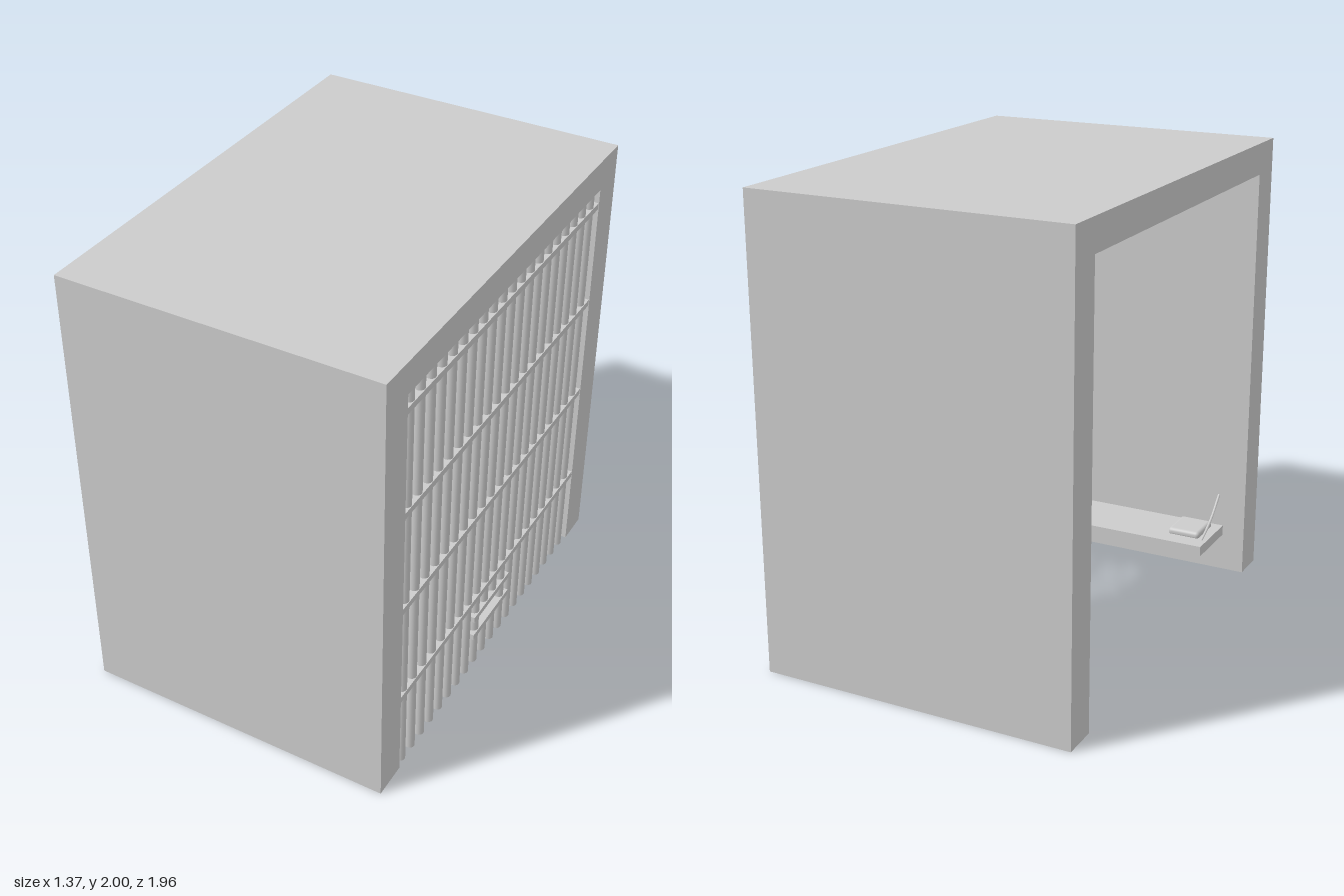
import * as THREE from 'three';
import { RoundedBoxGeometry } from 'three/addons/geometries/RoundedBoxGeometry.js';

const grey = new THREE.MeshStandardMaterial({ color: 0xcccccc });

export function createModel() {
  const model = new THREE.Group();
  const W = 0.685, D = 0.98, H = 2, openD = 0.825, openH = 1.865, barX = 0.66;

  const add = (name, geometry, x = 0, y = 0, z = 0, parent = model) => {
    const mesh = new THREE.Mesh(geometry, grey);
    mesh.name = name;
    mesh.position.set(x, y, z);
    parent.add(mesh);
    return mesh;
  };

  // Shell: two walls and a roof, open at both x ends and at the floor
  const portal = new THREE.Shape([
    [-D, 0], [-openD, 0], [-openD, openH], [openD, openH],
    [openD, 0], [D, 0], [D, H], [-D, H],
  ].map(([a, b]) => new THREE.Vector2(a, b)));
  const shell = new THREE.ExtrudeGeometry(portal, { depth: 2 * W, bevelEnabled: false });
  shell.translate(0, 0, -W).rotateY(Math.PI / 2);
  add('cellShell', shell);

  // Barred wall on the +x side
  const grille = new THREE.Group();
  grille.name = 'barredWall';
  model.add(grille);
  const addBar = (z, y0, y1) =>
    add('bar', new THREE.CylinderGeometry(0.021, 0.021, y1 - y0, 16), barX, (y0 + y1) / 2, z, grille);
  const count = 20, pitch = 0.0813;
  for (let i = 0; i < count; i++) {
    const z = (i - (count - 1) / 2) * pitch;
    if (Math.abs(z) < 0.06) {
      // Middle bars are cut away at the food slot
      addBar(z, 0, 0.175);
      addBar(z, 0.275, openH);
    } else addBar(z, 0, openH);
  }
  for (const y of [0.385, 0.855, 1.322, 1.79])
    add('crossRail', new THREE.BoxGeometry(0.046, 0.028, 2 * openD), barX, y, 0, grille);
  for (const y of [0.174, 0.275])
    add('foodSlotRail', new THREE.BoxGeometry(0.048, 0.027, 0.334), barX, y, 0, grille);

  // Bunk hung on the front wall
  const bunk = new THREE.Group();
  bunk.name = 'bunk';
  model.add(bunk);
  add('bunkBoard', new THREE.BoxGeometry(0.835, 0.046, 0.28), -0.165, 0.193, 0.685, bunk);
  add('pillow', new RoundedBoxGeometry(0.15, 0.036, 0.17, 4, 0.016), -0.465, 0.225, 0.71, bunk);

  // Sagging cables from the wall to the board
  const cable = new THREE.CatmullRomCurve3([
    new THREE.Vector3(0, 0.365, 0.825),
    new THREE.Vector3(0, 0.288, 0.745),
    new THREE.Vector3(0, 0.24, 0.67),
    new THREE.Vector3(0, 0.214, 0.615),
  ]);
  for (const x of [-0.558, 0.228])
    add('bunkCable', new THREE.TubeGeometry(cable, 16, 0.006, 8), x, 0, 0, bunk);

  return model;
}
